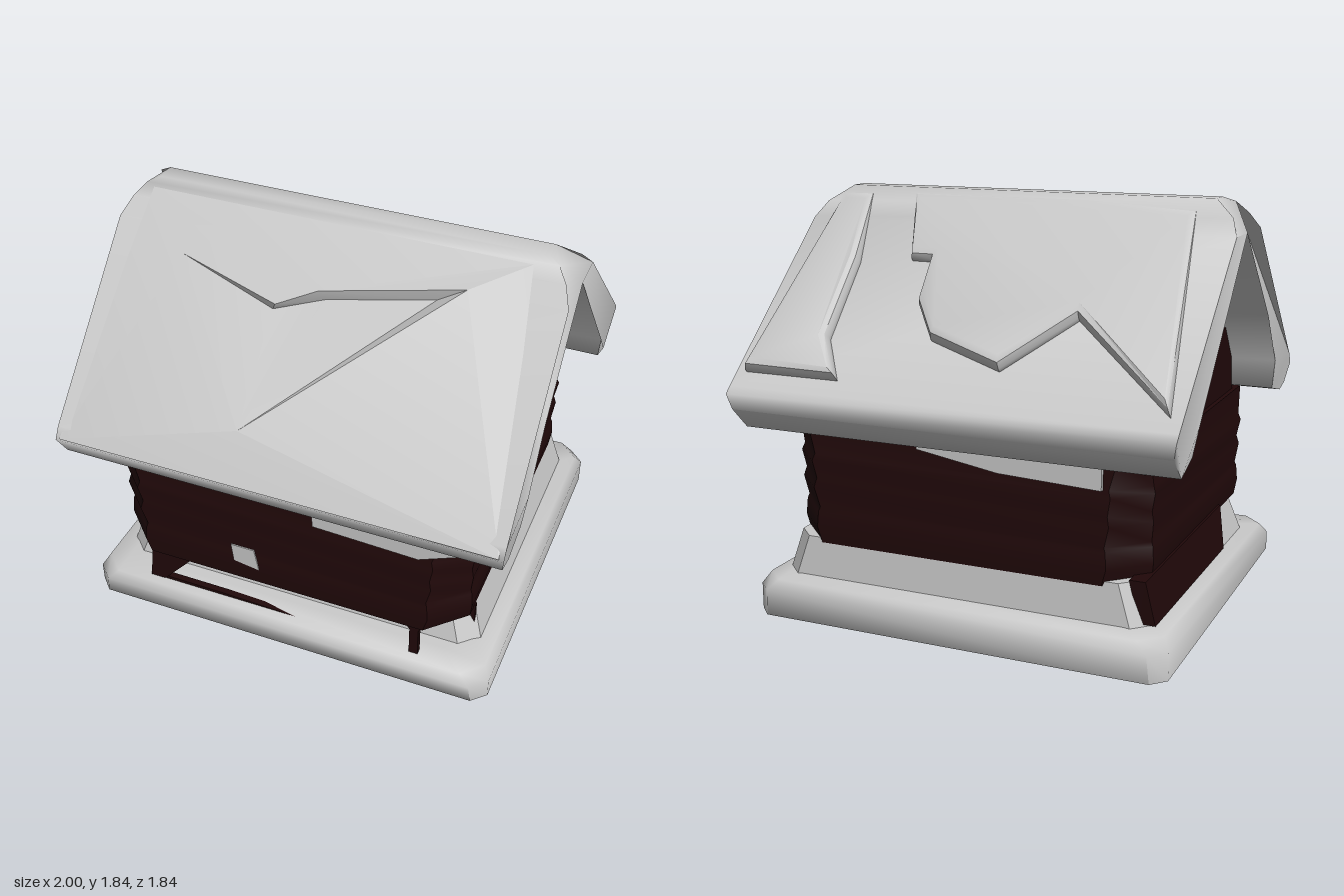
import * as THREE from 'three';
import { toCreasedNormals } from 'three/addons/utils/BufferGeometryUtils.js';

const snow = new THREE.MeshStandardMaterial({ color: 0xc9c9c9 });
snow.name = 'pale snow';
const wood = new THREE.MeshStandardMaterial({ color: 0x200809 });
wood.name = 'dark wood';

function add(group, name, geometry, material, crease = 0.7) {
  const mesh = new THREE.Mesh(toCreasedNormals(geometry, crease), material);
  mesh.name = name;
  group.add(mesh);
  return mesh;
}

function fromFaces(points, index) {
  const g = new THREE.BufferGeometry();
  g.setAttribute('position', new THREE.Float32BufferAttribute(points.flat(), 3));
  g.setIndex(index);
  g.computeVertexNormals();
  return g;
}

// Stack of chamfered rectangles; each level is [y, halfX, halfZ, chamfer, centreZ]
function loft(levels) {
  const points = [], index = [];
  for (const [y, hx, hz, c, z0 = 0] of levels) {
    for (const [x, z] of [[hx, -hz + c], [hx, hz - c], [hx - c, hz], [-hx + c, hz],
      [-hx, hz - c], [-hx, -hz + c], [-hx + c, -hz], [hx - c, -hz]]) points.push([x, y, z + z0]);
  }
  const last = (levels.length - 1) * 8;
  for (let i = 0; i < 8; i++) {
    const j = (i + 1) % 8;
    for (let k = 0; k < last; k += 8) index.push(k + i, k + 8 + i, k + 8 + j, k + i, k + 8 + j, k + j);
    if (i > 0 && i < 7) index.push(0, i, i + 1, last, last + i + 1, last + i);
  }
  return fromFaces(points, index);
}

// Outline given as [z, y], extruded along x between two positions
function alongX(outline, x0, x1) {
  const shape = new THREE.Shape(outline.map(([z, y]) => new THREE.Vector2(-z, y)));
  return new THREE.ExtrudeGeometry(shape, { depth: x1 - x0, bevelEnabled: false })
    .rotateY(Math.PI / 2).translate(x0, 0, 0);
}

// Raised snow layer on the back slope, outlined in plan as [x, z]
function backDrift(outline) {
  const shape = new THREE.Shape(outline.map(([x, z]) => new THREE.Vector2(x, -z)));
  const g = new THREE.ExtrudeGeometry(shape, {
    depth: 0.02, bevelThickness: 0.04, bevelSize: 0.03, bevelOffset: -0.03, bevelSegments: 2,
  });
  const p = g.attributes.position;
  for (let i = 0; i < p.count; i++) {
    const v = p.getY(i), h = p.getZ(i) * Math.min(1, v / 0.4);
    p.setXYZ(i, p.getX(i), 1.84 - 0.911 * (v - 0.02) + 0.74 * h, -v - 0.67 * h);
  }
  return g;
}

// Flat plate in x and y, given thickness towards +z
function plate(outline, z, depth) {
  const shape = new THREE.Shape(outline.map(([x, y]) => new THREE.Vector2(x, y)));
  return new THREE.ExtrudeGeometry(shape, { depth, bevelEnabled: false }).translate(0, 0, z);
}

export function createModel() {
  const house = new THREE.Group();
  house.name = 'snowyCabin';

  // Ground slab, tilted slightly underneath, and foundation
  const slab = loft([
    [0.02, 0.88, 0.78, 0.1], [0.03, 0.95, 0.85, 0.06], [0.13, 0.95, 0.86, 0.07],
    [0.18, 0.92, 0.84, 0.09], [0.2, 0.82, 0.74, 0.1],
  ]);
  const sp = slab.attributes.position;
  for (let i = 0; i < sp.count; i++) {
    if (sp.getY(i) < 0.05) sp.setY(i, sp.getY(i) + 0.02 * sp.getZ(i) - 0.004);
  }
  add(house, 'baseSlab', slab, snow, 1.4);
  add(house, 'foundation', loft([
    [0.15, 0.87, 0.74, 0.08, -0.03], [0.37, 0.8, 0.7, 0.08, -0.05],
  ]), snow);

  // Log walls with shallow seams between the courses
  add(house, 'walls', loft([
    [0.35, 0.81, 0.785, 0.16, 0.03], [0.42, 0.82, 0.79, 0.15, 0.03], [0.49, 0.815, 0.785, 0.15, 0.03],
    [0.51, 0.808, 0.78, 0.15, 0.03], [0.6, 0.82, 0.79, 0.14, 0.03], [0.64, 0.81, 0.78, 0.14, 0.03],
    [0.72, 0.825, 0.79, 0.14, 0.03], [0.75, 0.815, 0.78, 0.14, 0.03], [0.88, 0.81, 0.775, 0.1, 0.03],
  ]), wood);

  // Wood skirt leaning against the right side of the foundation
  const skirt = alongX([[0.28, 0.2], [0.36, 0.38], [-0.72, 0.38], [-0.72, 0.2]], -0.87, -0.8);
  const kp = skirt.attributes.position;
  for (let i = 0; i < kp.count; i++) if (kp.getY(i) > 0.3) kp.setX(i, kp.getX(i) + 0.045);
  add(house, 'sideSkirt', skirt, wood);

  // Front posts, trim and window
  add(house, 'leftPost', plate([[0.59, 0.19], [0.63, 0.19], [0.63, 0.33], [0.65, 0.37], [0.56, 0.37], [0.59, 0.33]], 0.78, 0.03), wood);
  add(house, 'rightPost', plate([[-0.67, 0.19], [-0.6, 0.19], [-0.44, 0.37], [-0.65, 0.37]], 0.76, 0.05), wood);
  add(house, 'sidePost', new THREE.BoxGeometry(0.02, 0.18, 0.02).translate(0.81, 0.28, 0.6), wood);
  add(house, 'floorTrim', plate([[-0.67, 0.185], [0.1, 0.185], [-0.3, 0.2], [-0.67, 0.202]], 0.775, 0.03), wood);
  add(house, 'window', plate([[-0.23, 0.45], [-0.11, 0.43], [-0.13, 0.54], [-0.24, 0.54]], 0.816, 0.006), snow);

  // Gable walls, with gaps that show the snowy attic
  add(house, 'leftGable', alongX([
    [0.62, 0.8], [0.6, 1.04], [0.43, 1.29], [0.02, 1.7], [-0.03, 1.66],
    [-0.1, 1.01], [-0.61, 1.05], [-0.65, 0.8],
  ], 0.7, 0.79), wood);
  add(house, 'rightGable', alongX([
    [0.64, 0.8], [0.6, 1.04], [0.48, 1.2], [0.1, 1.14], [-0.2, 1.18], [-0.6, 1.04], [-0.65, 0.8],
  ], -0.79, -0.7), wood);
  add(house, 'attic', alongX([[0.6, 0.87], [0.6, 1.05], [0, 1.7], [-0.62, 1.03], [-0.62, 0.87]], -0.6, 0.55), snow);

  // Thick roof; rows near the ridge get shorter so its ends are rounded off
  const roof = alongX([
    [0.92, 0.97], [0.89, 1.02], [0.22, 1.7], [0.15, 1.77], [0.1, 1.82], [0.07, 1.84], [-0.02, 1.84],
    [-0.1, 1.77], [-0.17, 1.7], [-0.89, 1.05], [-0.92, 1.02], [-0.9, 0.95], [-0.8, 0.85], [-0.66, 0.9],
    [-0.62, 1.02], [0, 1.7], [0.43, 1.28], [0.6, 1.04], [0.62, 0.9], [0.78, 0.86], [0.87, 0.88],
  ], -1, 1);
  const rp = roof.attributes.position;
  for (let i = 0; i < rp.count; i++) {
    const y = rp.getY(i);
    if (y > 1.75) rp.setX(i, rp.getX(i) * (y > 1.83 ? 0.87 : y > 1.8 ? 0.92 : 0.965));
    else if (y < 0.96) rp.setX(i, rp.getX(i) * 0.985);
  }
  add(house, 'roof', roof, snow, 1.2);

  // Folded drift on the front slope: an upper lip (A to D) overhanging a sunken triangle
  const [L, R, topL, topR, A, B, C, D, E, b, c, d] = [0, 1, 2, 3, 4, 5, 6, 7, 8, 9, 10, 11];
  add(house, 'frontDrift', fromFaces([
    [-0.98, 0.98, 0.922], [0.98, 0.98, 0.922], [-0.88, 1.81, 0.115], [0.82, 1.81, 0.115],
    [-0.64, 1.65, 0.33], [-0.17, 1.57, 0.43], [0, 1.64, 0.37], [0.6, 1.73, 0.27], [-0.17, 1.2, 0.83],
    [-0.19, 1.53, 0.41], [0.02, 1.59, 0.35], [0.48, 1.66, 0.28],
  ], [
    L, R, E, L, E, A, L, A, topL, topL, A, B, topL, B, C, topL, C, topR,
    C, D, topR, E, R, D, D, R, topR, A, b, B, B, b, c, B, c, C, C, c, d, C, d, D,
    A, E, b, b, E, c, c, E, d, E, D, d,
  ]), snow, 0.4);

  // Layered drifts on the back slope
  add(house, 'backDriftMain', backDrift([
    [-0.95, -0.84], [-0.46, -0.53], [-0.2, -0.74], [0.15, -0.65], [0.27, -0.52], [0.3, -0.34],
    [0.4, -0.34], [0.53, -0.05], [-0.3, -0.05], [-0.8, -0.08],
  ]), snow);
  add(house, 'backDriftSide', backDrift([
    [0.5, -0.83], [0.62, -0.68], [0.65, -0.36], [0.75, -0.06], [0.9, -0.06], [0.95, -0.83],
  ]), snow);

  // Snow sagging below the eaves
  add(house, 'frontEaveSnow', plate([[0.15, 0.78], [0.62, 0.76], [0.78, 0.83], [0.78, 0.9], [0.15, 0.9]], 0.7, 0.122), snow);
  add(house, 'backEaveSnow', plate([[-0.65, 0.75], [-0.2, 0.77], [0.17, 0.83], [0.17, 0.9], [-0.65, 0.9]], -0.768, 0.06), snow);
  return house;
}
